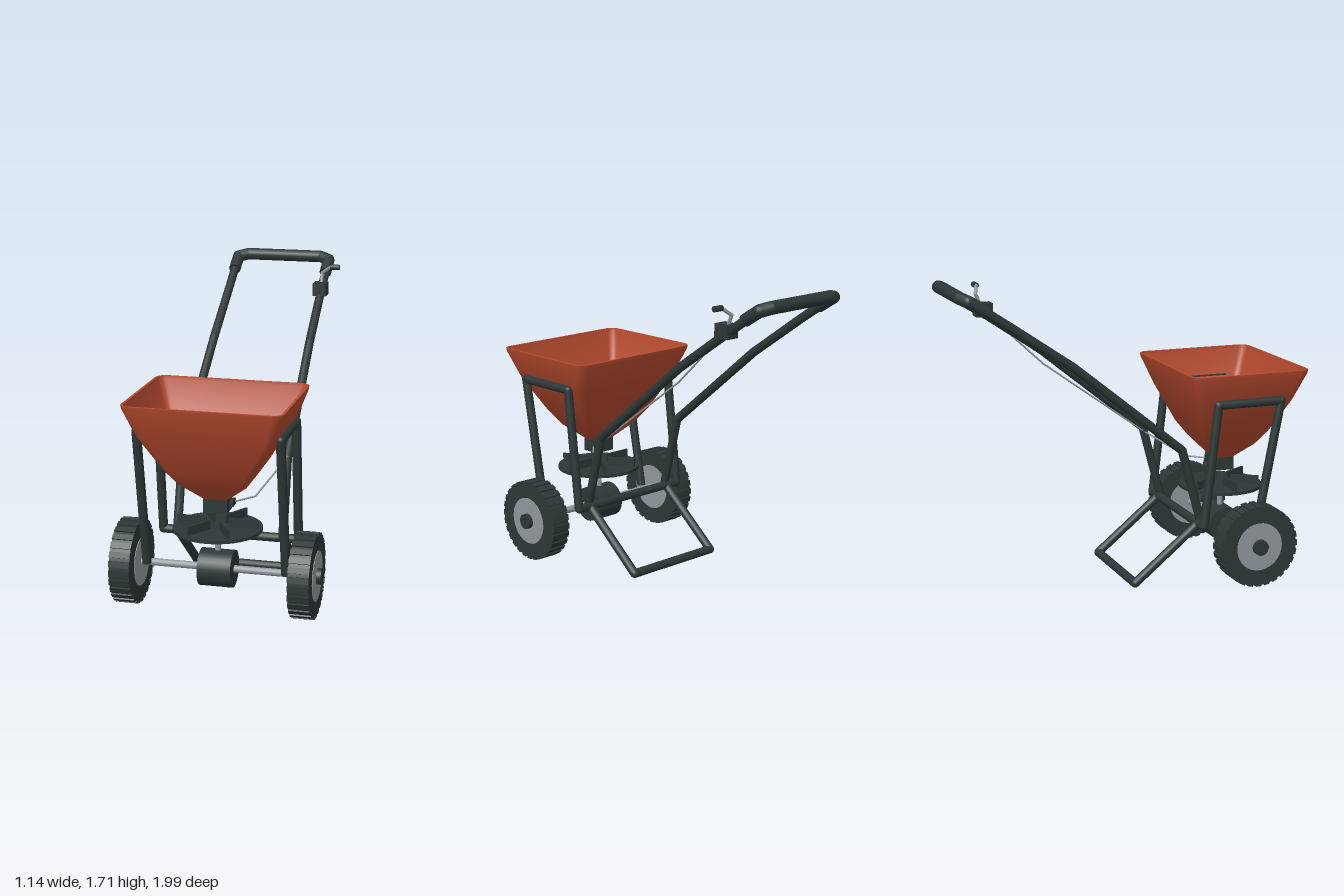
import * as THREE from 'three';
import { toCreasedNormals } from 'three/addons/utils/BufferGeometryUtils.js';

const material = (name, color) => {
  const m = new THREE.MeshStandardMaterial({ color });
  m.name = name;
  return m;
};
const V = (x, y, z) => new THREE.Vector3(x, y, z);

export function createModel() {
  const dark = material('charcoal', 0x2d3737);
  const orange = material('orange', 0xb54a2e);
  const steel = material('steel', 0x90989c);
  const root = new THREE.Group();
  root.name = 'broadcastSpreader';

  const add = (name, geo, mat, x = 0, y = 0, z = 0, parent = root) => {
    const mesh = new THREE.Mesh(geo, mat);
    mesh.name = name;
    mesh.position.set(x, y, z);
    parent.add(mesh);
    return mesh;
  };
  const box = (w, h, d) => new THREE.BoxGeometry(w, h, d);
  const xCylinder = (r, w, n = 32) => new THREE.CylinderGeometry(r, r, w, n).rotateZ(Math.PI / 2);

  // Straight tubes joined by ball corners along a list of points
  const tube = (name, points, r, mat, parent = root) => {
    const group = new THREE.Group();
    group.name = name;
    points.forEach((p, i) => {
      if (i > 0) {
        const d = p.clone().sub(points[i - 1]);
        const seg = add(name + 'Segment', new THREE.CylinderGeometry(r, r, d.length(), 14), mat, 0, 0, 0, group);
        seg.position.copy(p).addScaledVector(d, -0.5);
        seg.quaternion.setFromUnitVectors(V(0, 1, 0), d.normalize());
      }
      if (i > 0 && i < points.length - 1) {
        add(name + 'Joint', new THREE.SphereGeometry(r, 14, 10), mat, p.x, p.y, p.z, group);
      }
    });
    parent.add(group);
    return group;
  };

  const cz = 0.64; // axle and hopper centre line

  // Hopper: rounded rectangles lofted up the outside, over the rim and down the inside
  const levels = [
    [0.64, 0.065, 0.055, 0.012], [0.735, 0.185, 0.14, 0.03], [0.82, 0.245, 0.2, 0.04],
    [1.02, 0.37, 0.287, 0.05], [1.18, 0.427, 0.352, 0.055], [1.2, 0.43, 0.355, 0.055],
  ];
  const t = 0.014;
  const inside = levels.map(([y, w, d, r]) => [y, w - t, d - t, Math.max(r - t, 0.006)]).reverse();
  const rings = [...levels, ...inside];
  const steps = 5, count = 4 * (steps + 1);
  const position = [], index = [];
  rings.forEach(([y, w, d, r], k) => {
    for (let c = 0; c < 4; c++) {
      const sx = c === 0 || c === 3 ? 1 : -1, sz = c < 2 ? 1 : -1;
      for (let s = 0; s <= steps; s++) {
        const a = (c + s / steps) * Math.PI / 2;
        position.push(sx * (w - r) + r * Math.cos(a), y, sz * (d - r) + r * Math.sin(a));
      }
    }
    if (k === 0) return;
    for (let i = 0; i < count; i++) {
      const j = (i + 1) % count, lo = (k - 1) * count, hi = k * count;
      index.push(lo + i, hi + i, lo + j, hi + i, hi + j, lo + j);
    }
  });
  const hopper = new THREE.BufferGeometry();
  hopper.setAttribute('position', new THREE.Float32BufferAttribute(position, 3));
  hopper.setIndex(index);
  add('hopper', toCreasedNormals(hopper, 0.6), orange, 0, 0, cz);

  // Outlet under the hopper
  add('outlet', box(0.13, 0.085, 0.11), dark, 0, 0.607, cz);
  add('outletArm', box(0.05, 0.035, 0.06), dark, 0.06, 0.605, 0.61);

  // Spinner with six vanes, shaft and gearbox
  add('spinnerDisc', new THREE.CylinderGeometry(0.242, 0.242, 0.018, 40), dark, 0, 0.467, cz);
  for (let i = 0; i < 6; i++) {
    const vane = add('spinnerVane', box(0.165, 0.05, 0.012).translate(0.143, 0, 0), dark, 0, 0.5, cz);
    vane.rotation.y = i * Math.PI / 3;
  }
  add('spinnerShaft', new THREE.CylinderGeometry(0.016, 0.016, 0.15, 16), steel, 0, 0.395, cz);
  add('gearbox', xCylinder(0.102, 0.184), dark, 0, 0.24, cz);
  add('axle', xCylinder(0.02, 0.9, 16), steel, 0, 0.24, cz);

  // Wheels with lugged tyres, and the paired frame tubes
  for (const s of [-1, 1]) {
    const wheel = new THREE.Group();
    wheel.name = s > 0 ? 'leftWheel' : 'rightWheel';
    wheel.position.set(s * 0.487, 0.24, cz);
    root.add(wheel);
    add('tyre', xCylinder(0.226, 0.114, 48), dark, 0, 0, 0, wheel);
    for (let i = 0; i < 28; i++) {
      const lug = add('tyreLug', box(0.116, 0.02, 0.032).translate(0, 0.223, 0), dark, 0, 0, 0, wheel);
      lug.rotation.x = i * Math.PI / 14;
    }
    add('wheelDisc', xCylinder(0.137, 0.12, 40), steel, 0, 0, 0, wheel);
    add('hubCap', xCylinder(0.044, 0.05, 24), dark, s * 0.06, 0, 0, wheel);

    tube('sideFrame', [V(s * 0.385, 0.25, 0.685), V(s * 0.385, 1.03, 0.832),
      V(s * 0.385, 1.03, 0.45), V(s * 0.385, 0.34, 0.37), V(0, 0.34, 0.37)], 0.025, dark);
    tube('handleTube', [V(s * 0.3, 0.34, 0.387), V(s * 0.298, 0.77, 0.27),
      V(s * 0.285, 1.28, -0.36), V(s * 0.28, 1.52, -0.71), V(s * 0.28, 1.62, -0.86)], 0.025, dark);
  }

  // Rear stand and handle grip
  tube('stand', [V(-0.3, 0.34, 0.375), V(-0.3, 0.027, -0.01),
    V(0.3, 0.027, -0.01), V(0.3, 0.34, 0.375)], 0.025, dark);
  tube('grip', [V(-0.28, 1.605, -0.835), V(-0.28, 1.667, -0.935), V(-0.225, 1.68, -0.964),
    V(0.225, 1.68, -0.964), V(0.28, 1.667, -0.935), V(0.28, 1.605, -0.835)], 0.035, dark);

  // Flow control: housing, bent lever, knob and rod to the outlet
  add('controlHousing', box(0.078, 0.075, 0.095), dark, 0.278, 1.532, -0.7);
  tube('controlLever', [V(0.28, 1.55, -0.71), V(0.28, 1.62, -0.74), V(0.335, 1.66, -0.72)], 0.01, steel);
  add('leverKnob', xCylinder(0.016, 0.056, 16), dark, 0.36, 1.66, -0.72);
  tube('controlRod', [V(0.075, 0.605, 0.6), V(0.17, 0.608, 0.49), V(0.28, 0.75, 0.27),
    V(0.28, 1.2, -0.35), V(0.28, 1.51, -0.68)], 0.005, steel);

  return root;
}
